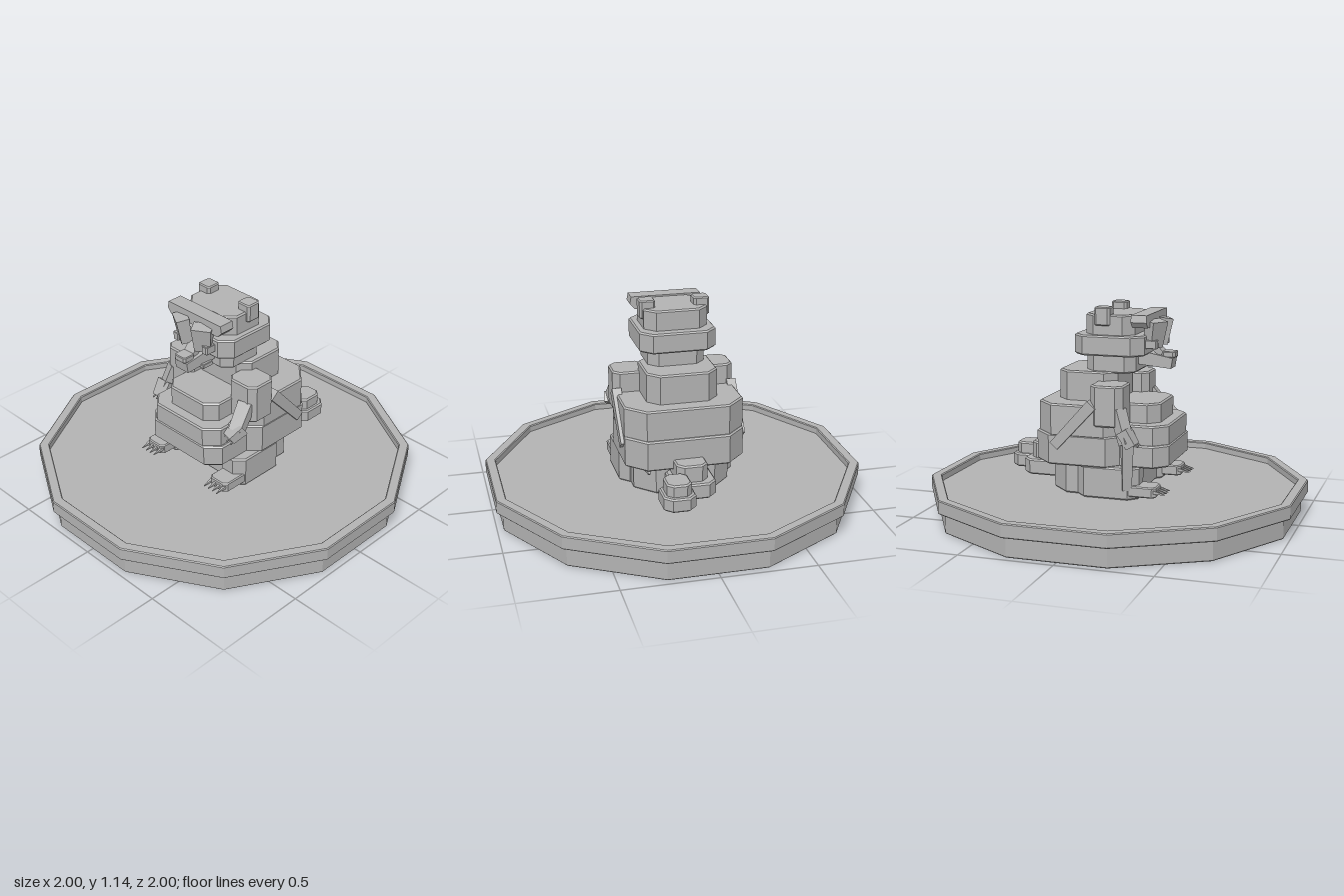
import * as THREE from 'three';

const stone = new THREE.MeshStandardMaterial({ color: 0xb2b2b2 });
stone.name = 'stone grey';

// Upright prism with a softened top and bottom edge
function prism(shape, y0, y1, bevel) {
  const g = new THREE.ExtrudeGeometry(shape, {
    depth: y1 - y0 - 2 * bevel, bevelEnabled: true, bevelThickness: bevel,
    bevelSize: bevel, bevelOffset: -bevel, bevelSegments: 1,
  });
  g.rotateX(-Math.PI / 2);
  g.translate(0, y0 + bevel, 0);
  return g;
}

// Twelve-sided outline with the given distance from centre to side
function twelveSided(apothem) {
  const r = apothem / Math.cos(Math.PI / 12);
  return Array.from({ length: 12 }, (_, i) => {
    const a = (i + 0.5) * Math.PI / 6;
    return new THREE.Vector2(r * Math.cos(a), r * Math.sin(a));
  });
}

export function createModel() {
  const model = new THREE.Group();
  model.name = 'statueOnPlinth';

  const add = (name, geometry, parent = model) => {
    const mesh = new THREE.Mesh(geometry, stone);
    mesh.name = name;
    parent.add(mesh);
    return mesh;
  };

  // Block with cut corners, given as x, y and z ranges
  const block = (name, [x0, x1], [y0, y1], [z0, z1], cut = 0.05, bevel = 0.008) => {
    const s = new THREE.Shape([
      [x0 + cut, -z1], [x1 - cut, -z1], [x1, -z1 + cut], [x1, -z0 - cut],
      [x1 - cut, -z0], [x0 + cut, -z0], [x0, -z0 - cut], [x0, -z1 + cut],
    ].map(p => new THREE.Vector2(...p)));
    return add(name, prism(s, y0, y1, bevel));
  };

  // Square bar between two points, tapering to the second
  const bar = (name, a, b, w, h, taper = 1) => {
    const p = new THREE.Vector3(...a), q = new THREE.Vector3(...b);
    const g = new THREE.BoxGeometry(w, h, p.distanceTo(q));
    const v = g.attributes.position;
    for (let i = 0; i < v.count; i++) {
      if (v.getZ(i) > 0) v.setXY(i, v.getX(i) * taper, v.getY(i) * taper);
    }
    const flat = g.toNonIndexed();
    flat.computeVertexNormals();
    const mesh = add(name, flat);
    mesh.position.copy(p).add(q).multiplyScalar(0.5);
    mesh.lookAt(q);
    return mesh;
  };

  // Plinth with a raised rim around a sunken floor
  add('plinthBase', prism(new THREE.Shape(twelveSided(0.966)), 0, 0.112, 0.005));
  add('plinthFloor', prism(new THREE.Shape(twelveSided(0.95)), 0.1, 0.145, 0.002));
  const rim = new THREE.Shape(twelveSided(1));
  rim.holes.push(new THREE.Path(twelveSided(0.945)));
  add('plinthRim', prism(rim, 0.108, 0.182, 0.005));

  // Stacked body
  block('hips', [-0.26, 0.26], [0.145, 0.32], [-0.31, 0.17], 0.1);
  block('lowerBody', [-0.32, 0.32], [0.31, 0.475], [-0.385, 0.13], 0.1);
  block('upperBody', [-0.32, 0.32], [0.465, 0.637], [-0.37, 0.12], 0.1);
  block('lowerBelly', [-0.26, 0.26], [0.31, 0.43], [-0.05, 0.34], 0.07);
  block('middleBelly', [-0.245, 0.245], [0.42, 0.533], [-0.05, 0.335], 0.07);
  block('upperBelly', [-0.18, 0.18], [0.52, 0.637], [-0.05, 0.275], 0.06);
  block('chest', [-0.19, 0.19], [0.62, 0.795], [-0.285, 0.04], 0.06);

  // Tail stepping back and curling to the left
  block('tailBaseLower', [-0.12, 0.115], [0.19, 0.275], [-0.52, -0.28], 0.045);
  block('tailBaseUpper', [-0.08, 0.085], [0.265, 0.365], [-0.485, -0.28], 0.035);
  block('tailTipLower', [0.02, 0.19], [0.19, 0.265], [-0.645, -0.45], 0.04);
  block('tailTipUpper', [0.04, 0.17], [0.255, 0.328], [-0.62, -0.47], 0.03);

  // Head in three tiers
  block('lowerHead', [-0.152, 0.152], [0.785, 0.89], [-0.14, 0.13], 0.05);
  block('middleHead', [-0.205, 0.205], [0.882, 0.99], [-0.195, 0.19], 0.06);
  block('upperHead', [-0.17, 0.17], [0.982, 1.097], [-0.14, 0.13], 0.055);

  // Brow, narrower below
  const brow = new THREE.Shape([[-0.17, 1.035], [0.17, 1.035], [0.197, 1.065], [0.19, 1.103],
    [-0.19, 1.103], [-0.197, 1.065]].map(p => new THREE.Vector2(...p)));
  const browGeometry = new THREE.ExtrudeGeometry(brow, { depth: 0.085, bevelEnabled: false });
  browGeometry.translate(0, 0, 0.13);
  add('brow', browGeometry);

  // Muzzle, nose and mouth
  bar('muzzle', [0, 0.865, 0.12], [0, 0.835, 0.31], 0.12, 0.075, 0.75);
  block('nose', [-0.04, 0.04], [0.865, 0.897], [0.25, 0.325], 0.012, 0.004);
  bar('noseBridge', [0, 0.97, 0.16], [0, 0.88, 0.25], 0.08, 0.04, 0.8);
  block('tooth', [0.025, 0.07], [0.802, 0.828], [0.15, 0.22], 0.005, 0.003);

  for (const s of [-1, 1]) {
    const side = s > 0 ? 'left' : 'right';
    const span = (a, b) => [Math.min(s * a, s * b), Math.max(s * a, s * b)];

    block(side + 'Ear', span(0.103, 0.188), [1.04, 1.137], [-0.075, 0.01], 0.012, 0.006);

    // Hanging eyelid and small eye
    bar(side + 'Eyelid', [s * 0.08, 1.065, 0.235], [s * 0.068, 0.925, 0.215], 0.105, 0.07, 0.8);
    block(side + 'Eye', span(0.085, 0.125), [0.92, 0.965], [0.16, 0.25], 0.006, 0.003);

    block(side + 'Shoulder', span(0.14, 0.33), [0.53, 0.747], [-0.057, 0.122], 0.035);
    block(side + 'Leg', span(0.14, 0.315), [0.145, 0.315], [-0.14, 0.2], 0.05);

    // Foot with claws
    block(side + 'Foot', span(0.185, 0.31), [0.165, 0.222], [0.12, 0.3], 0.02, 0.006);
    for (let i = 0; i < 4; i++) {
      const x = s * (0.2 + i * 0.031);
      bar(side + 'FootClaw', [x, 0.198, 0.28], [x, 0.186, 0.35], 0.02, 0.02, 0.15);
    }

    // Slanting strap on the flank
    bar(side + 'FlankStrap', [s * 0.315, 0.645, -0.04], [s * 0.315, 0.415, -0.25], 0.05, 0.06, 0.9);
  }
  bar('backSpur', [0.22, 0.335, -0.29], [0.21, 0.29, -0.37], 0.05, 0.05, 0.2);

  // Left arm bent forward, with hand and claws
  bar('leftForearm', [0.27, 0.63, 0.1], [0.29, 0.51, 0.2], 0.08, 0.06, 0.9);
  bar('leftHand', [0.29, 0.53, 0.17], [0.27, 0.48, 0.24], 0.1, 0.06, 0.8);
  for (const x of [0.24, 0.27, 0.3]) {
    bar('leftHandClaw', [x, 0.49, 0.22], [x, 0.455, 0.25], 0.02, 0.02, 0.2);
  }

  // Right arm hanging, with a long staff below the hand
  bar('rightForearm', [-0.29, 0.62, 0.09], [-0.325, 0.45, 0.15], 0.07, 0.06, 0.9);
  bar('rightHand', [-0.315, 0.52, 0.13], [-0.315, 0.44, 0.18], 0.09, 0.06, 0.9);
  bar('rightStaff', [-0.315, 0.46, 0.15], [-0.295, 0.2, 0.14], 0.06, 0.06, 0.8);
  for (const x of [-0.34, -0.315, -0.29]) {
    bar('rightHandClaw', [x, 0.47, 0.17], [x, 0.44, 0.215], 0.02, 0.02, 0.2);
  }

  return model;
}
